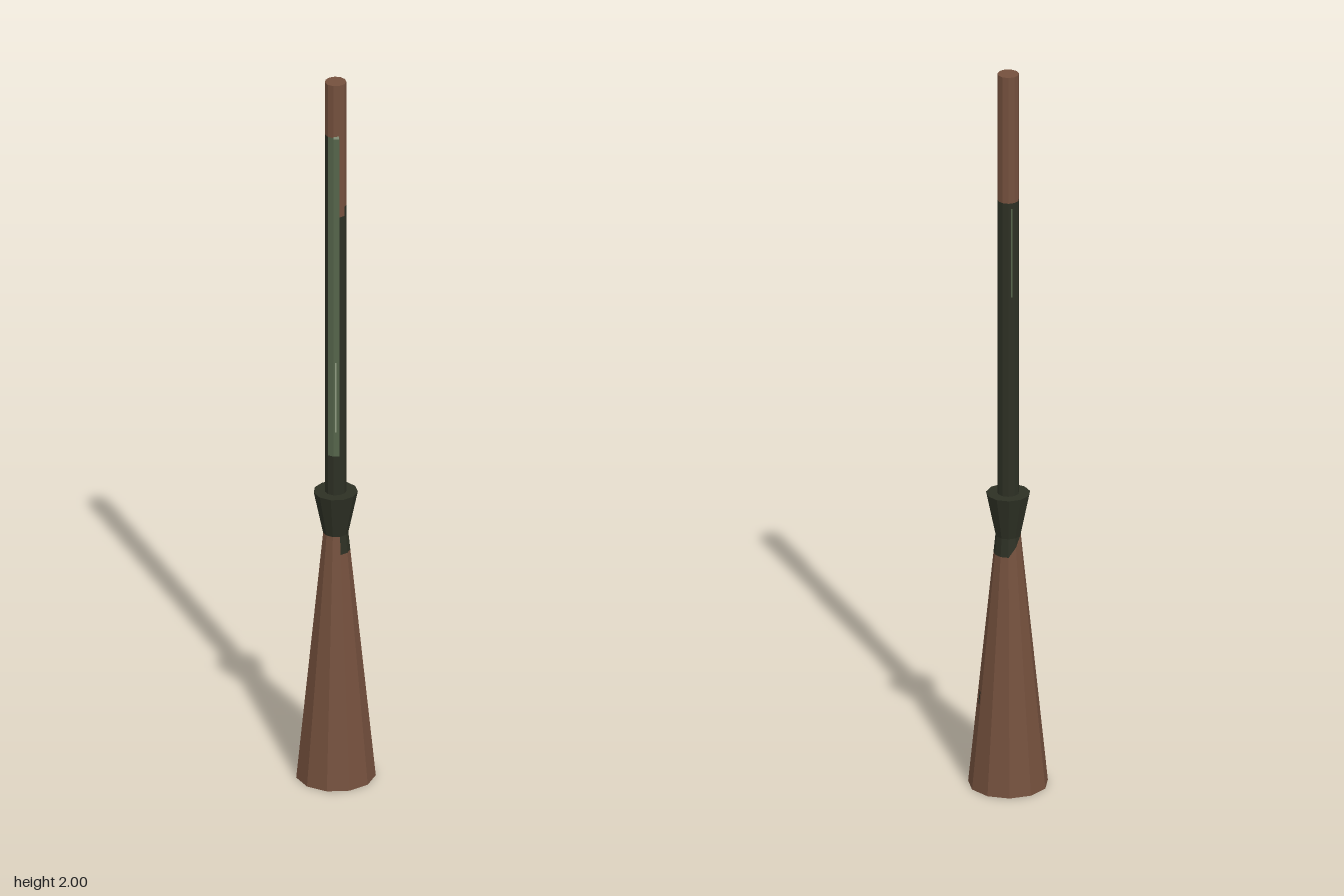
import * as THREE from 'three';

const SIDES = 11;
const CENTRE_Z = -0.002;

// radius of each tapering section at height y
const baseR = (y) => 0.104 + (0.033 - 0.104) * (y / 0.7);
const collarR = (y) => 0.033 + (0.0575 - 0.033) * ((y - 0.7) / 0.118);
const poleR = () => 0.028;

export function createModel() {
  const group = new THREE.Group();
  const material = (name, color) => {
    const m = new THREE.MeshStandardMaterial({ color, flatShading: true });
    m.name = name;
    return m;
  };
  const wood = material('brown wood', 0x74503d);
  const dark = material('dark green paint', 0x2d3024);
  const green = material('faded green paint', 0x55644a);
  const pale = material('pale scratches', 0x8f9a80);

  const add = (name, geometry, mat) => {
    const mesh = new THREE.Mesh(geometry, mat);
    mesh.name = name;
    mesh.position.z = CENTRE_Z;
    group.add(mesh);
  };

  // point on side k, a fraction u across it, at height y
  const onSide = (radius, k, u, y, lift) => {
    const corner = (i) => {
      const a = (i / SIDES) * Math.PI * 2;
      const r = radius(y) + lift;
      return new THREE.Vector3(Math.sin(a) * r, y, Math.cos(a) * r);
    };
    return corner(k).lerp(corner(k + 1), u);
  };

  // flat sided shell; lo and hi give the heights at corner k (side s)
  const shell = (radius, lo, hi, sides, u0 = 0, u1 = 1, lift = 0) => {
    const pos = [];
    for (const s of sides) {
      const a = onSide(radius, s, u0, lo(s, 0), lift);
      const b = onSide(radius, s, u1, lo(s, 1), lift);
      const c = onSide(radius, s, u1, hi(s, 1), lift);
      const d = onSide(radius, s, u0, hi(s, 0), lift);
      for (const p of [a, b, c, a, c, d]) pos.push(p.x, p.y, p.z);
    }
    const g = new THREE.BufferGeometry();
    g.setAttribute('position', new THREE.Float32BufferAttribute(pos, 3));
    g.computeVertexNormals();
    return g;
  };

  const cap = (r, y, up) => {
    const s = up ? -1 : 1;
    return new THREE.CircleGeometry(r, SIDES, s * Math.PI / 2)
      .rotateX(s * Math.PI / 2).translate(0, y, 0);
  };

  const all = Array.from({ length: SIDES }, (_, i) => i);
  const at = (y) => () => y;

  // wooden base, with the paint edge dipping lower on its left half
  const paintEdge = (s, end) => {
    if (s < 5) return 0.65;
    if (s < 7) return 0.65 + 0.025 * (s - 5 + end);
    return 0.7;
  };
  add('base', shell(baseR, at(0), paintEdge, all), wood);
  add('baseUnderside', cap(0.104, 0, false), wood);
  add('neckPaint', shell(baseR, paintEdge, at(0.7), [0, 1, 2, 3, 4, 5, 6]), dark);

  // flared collar
  add('collar', shell(collarR, at(0.7), at(0.818), all), dark);
  add('collarTop', cap(0.0575, 0.818, true), dark);

  // pole, painted up to a height that differs from side to side
  const paintTop = (s) => (s >= 8 ? 1.85 : s === 0 ? 1.62 : 1.645);
  const faded = [9, 10];
  add('polePaint', shell(poleR, at(0.818), (s) => (faded.includes(s) ? 0.93 : paintTop(s)), all), dark);
  add('poleFadedPaint', shell(poleR, at(0.93), paintTop, faded), green);
  add('poleTip', shell(poleR, paintTop, at(2), all), wood);
  add('poleTop', cap(0.028, 2, true), wood);

  // thin worn marks
  const mark = (name, radius, side, u0, u1, y0, y1, mat) =>
    add(name, shell(radius, at(y0), at(y1), [side], u0, u1, 0.0006), mat);
  mark('frontScratch', poleR, 10, 0.3, 0.5, 1.0, 1.2, pale);
  mark('paintLine', poleR, 10, 0.05, 0.9, 1.846, 1.854, pale);
  mark('backScratch', poleR, 5, 0.45, 0.65, 1.38, 1.63, green);
  mark('baseChip', baseR, 2, 0.5, 0.75, 0.23, 0.265, dark);

  return group;
}
